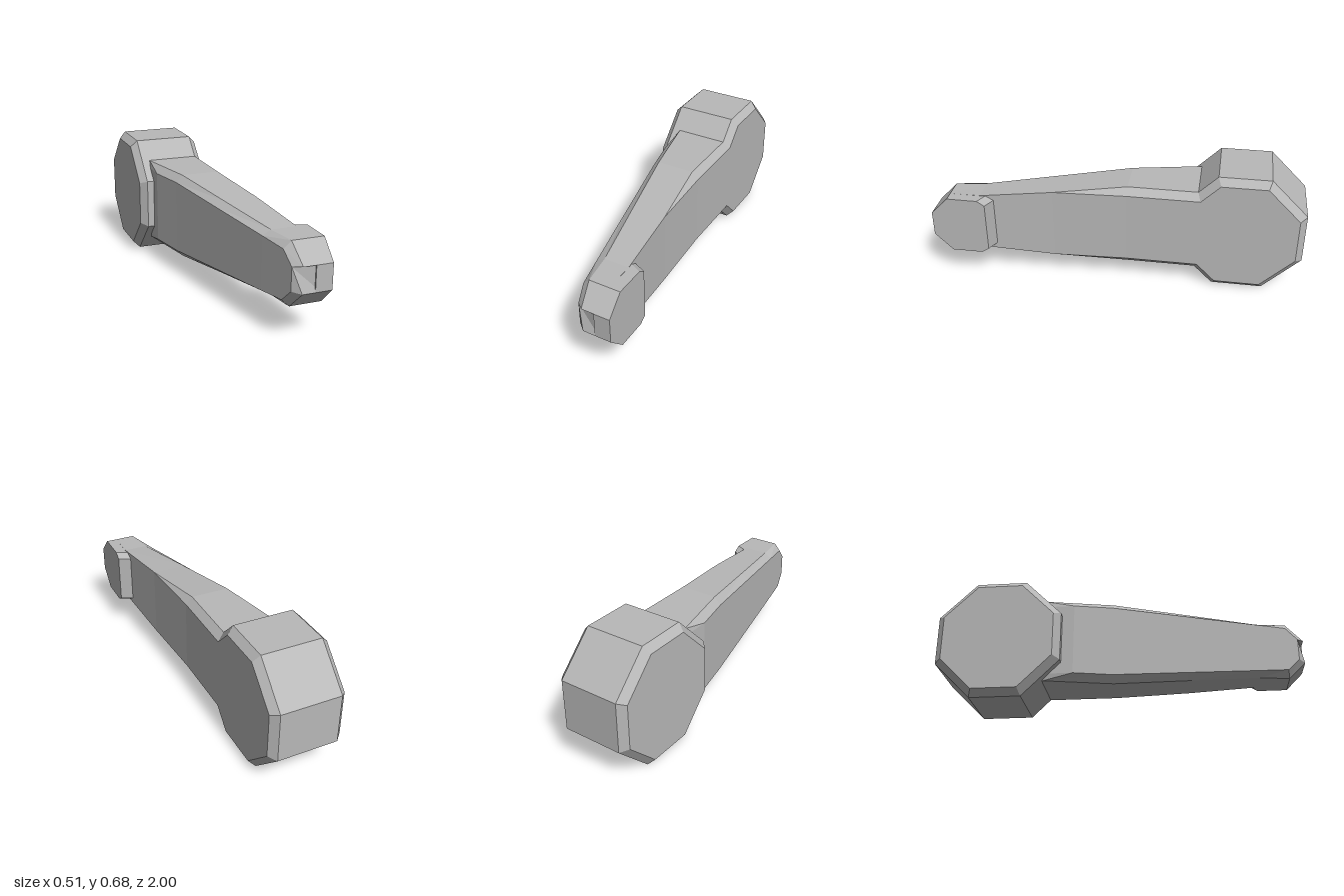
import * as THREE from 'three';

const MID = 0.3375; // height of the symmetry plane

// Faceted skin over rings of points, closed at both ends.
// Rings run clockwise as seen from the direction of travel.
function loft(name, rings, material) {
  const pos = [];
  const tri = (...pts) => {
    const [a, b, c] = pts.map((p) => new THREE.Vector3(...p));
    if (b.sub(a).cross(c.sub(a)).length() > 1e-7) pos.push(...pts.flat());
  };
  const n = rings[0].length;
  for (let r = 0; r < rings.length - 1; r++) {
    for (let i = 0; i < n; i++) {
      const j = (i + 1) % n, a = rings[r], b = rings[r + 1];
      tri(a[i], b[i], b[j]);
      tri(a[i], b[j], a[j]);
    }
  }
  const first = rings[0], last = rings[rings.length - 1];
  for (let i = 1; i < n - 1; i++) {
    tri(first[0], first[i], first[i + 1]);
    tri(last[0], last[i + 1], last[i]);
  }
  const geometry = new THREE.BufferGeometry();
  geometry.setAttribute('position', new THREE.Float32BufferAttribute(pos, 3));
  geometry.computeVertexNormals();
  const mesh = new THREE.Mesh(geometry, material);
  mesh.name = name;
  return mesh;
}

// Completes a ring from its upper half, given as [x, height above middle, z]
function mirrorRing(upper) {
  const up = upper.map(([x, h, z]) => [x, MID + h, z]);
  const down = upper.map(([x, h, z]) => [x, MID - h, z]).reverse();
  return [...up, ...down];
}

export function createModel() {
  const group = new THREE.Group();
  group.name = 'crankArm';
  const metal = new THREE.MeshStandardMaterial({ color: 0xb8b8b8, flatShading: true });
  metal.name = 'greyMetal';

  // Octagonal axle hub with bevelled rims
  const hubRing = (x, inset) => {
    const h = 0.3375 - inset, c = 0.1375 - inset * 0.414, z = -0.6625;
    return mirrorRing([[x, c, z + h], [x, h, z + c], [x, h, z - c], [x, c, z - h]]);
  };
  group.add(loft('axleHub', [
    hubRing(-0.257, 0.037), hubRing(-0.22, 0), hubRing(0.108, 0), hubRing(0.145, 0.037),
  ], metal));

  // Tapered arm: outer side, outer top edge, inner top edge, inner side
  const armRings = [
    [[-0.182, 0.2, -0.6], [-0.175, 0.2375, -0.6], [0.108, 0.2375, -0.6], [0.145, 0.2, -0.6]],
    [[-0.182, 0.2, -0.26], [-0.175, 0.2375, -0.42], [0.108, 0.2375, -0.42], [0.145, 0.2, -0.42]],
    [[-0.138, 0.2, -0.05], [-0.1, 0.2375, -0.05], [0.108, 0.2375, -0.05], [0.145, 0.2, -0.05]],
    [[-0.059, 0.169, 0.35], [-0.018, 0.2, 0.35], [0.165, 0.2, 0.35], [0.165, 0.2, 0.35]],
    [[0.018, 0.139, 0.74], [0.063, 0.1635, 0.74], [0.198, 0.1645, 0.74], [0.198, 0.1645, 0.74]],
    [[0.05, 0.126, 0.9], [0.088, 0.1635, 0.905], [0.198, 0.1635, 0.905], [0.198, 0.1635, 0.905]],
    [[0.063, 0.06, 0.965], [0.103, 0.0675, 1], [0.198, 0.0675, 1], [0.198, 0.0675, 1]],
  ];
  group.add(loft('arm', armRings.map(mirrorRing), metal));

  // Pedal boss standing out at the tip, with a slanted rear step
  const bossRing = (x, shift) => mirrorRing([
    [x, 0.0675, 1], [x, 0.1635, 0.905], [x, 0.1635, 0.74 - shift], [x, 0.1375, 0.7 - shift],
  ]);
  group.add(loft('pedalBoss', [bossRing(0.17, 0.042), bossRing(0.257, 0)], metal));

  return group;
}
